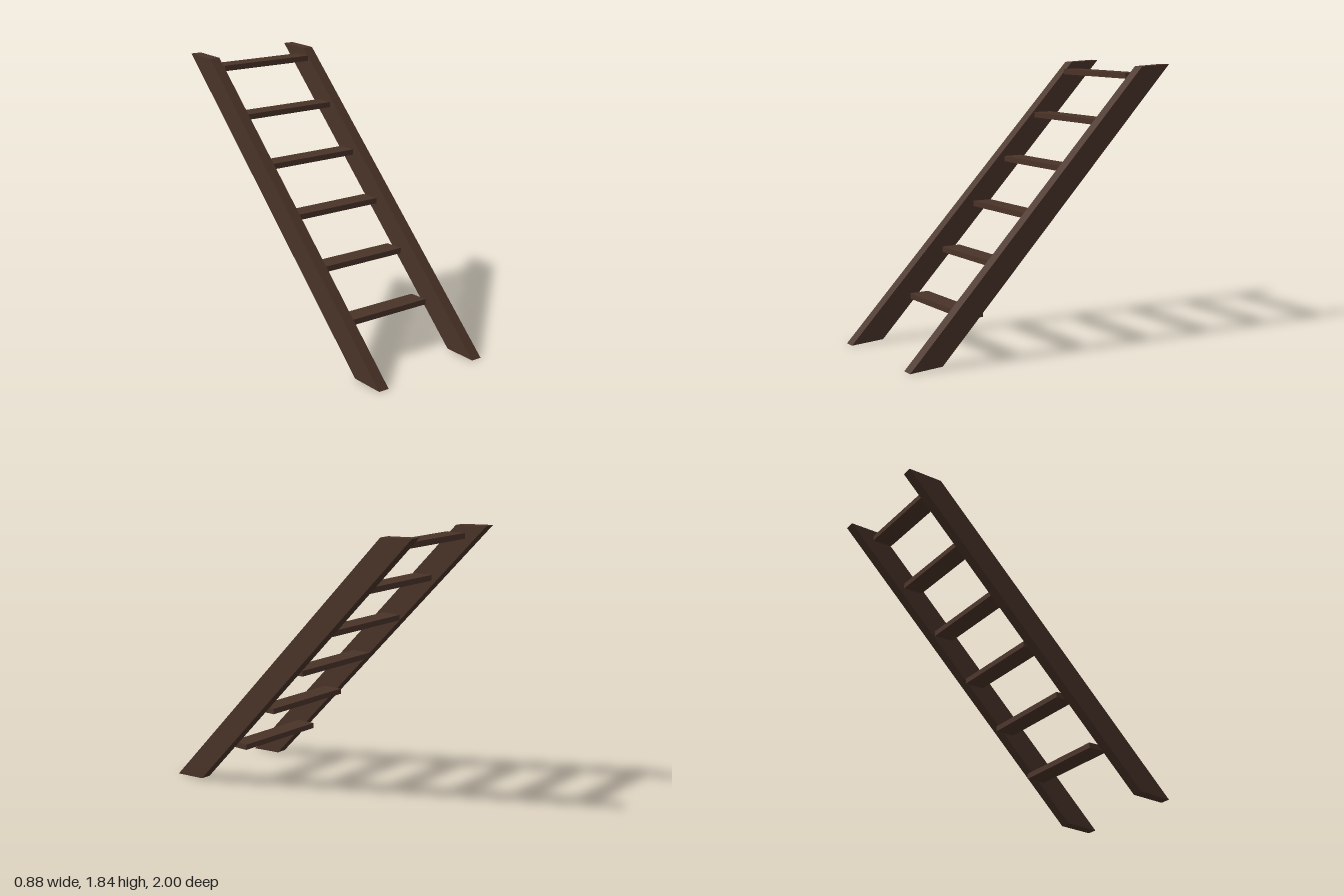
import * as THREE from 'three';

const wood = new THREE.MeshStandardMaterial({ color: 0x4a3328 });
wood.name = 'dark brown wood';

// Leaning side rail with nearly level cut ends; x grows slightly with height by lean
function makeRail(name, x, width, lean) {
  const profile = new THREE.Shape([
    new THREE.Vector2(1, 0),
    new THREE.Vector2(-0.77, 1.825),
    new THREE.Vector2(-1, 1.835),
    new THREE.Vector2(0.77, 0.012),
  ]);
  const geometry = new THREE.ExtrudeGeometry(profile, { depth: width, bevelEnabled: false });
  geometry.translate(0, 0, -width / 2).rotateY(-Math.PI / 2);
  const p = geometry.attributes.position;
  for (let i = 0; i < p.count; i++) {
    p.setX(i, p.getX(i) + lean * (p.getY(i) / 1.835 - 0.5));
  }
  geometry.computeVertexNormals();
  const rail = new THREE.Mesh(geometry, wood);
  rail.name = name;
  rail.position.x = x;
  return rail;
}

export function createModel() {
  const ladder = new THREE.Group();
  ladder.name = 'ladder';
  ladder.add(makeRail('leftRail', 0.396, 0.076, 0.005));
  ladder.add(makeRail('rightRail', -0.401, 0.076, 0.003));

  // Six level treads climbing towards the back
  const treadGeometry = new THREE.BoxGeometry(0.708, 0.037, 0.138);
  for (let i = 0; i < 6; i++) {
    const tread = new THREE.Mesh(treadGeometry, wood);
    tread.name = `tread${i + 1}`;
    tread.position.set(-0.008, 0.283 + 0.2955 * i, 0.491 - 0.2525 * i);
    ladder.add(tread);
  }
  return ladder;
}
